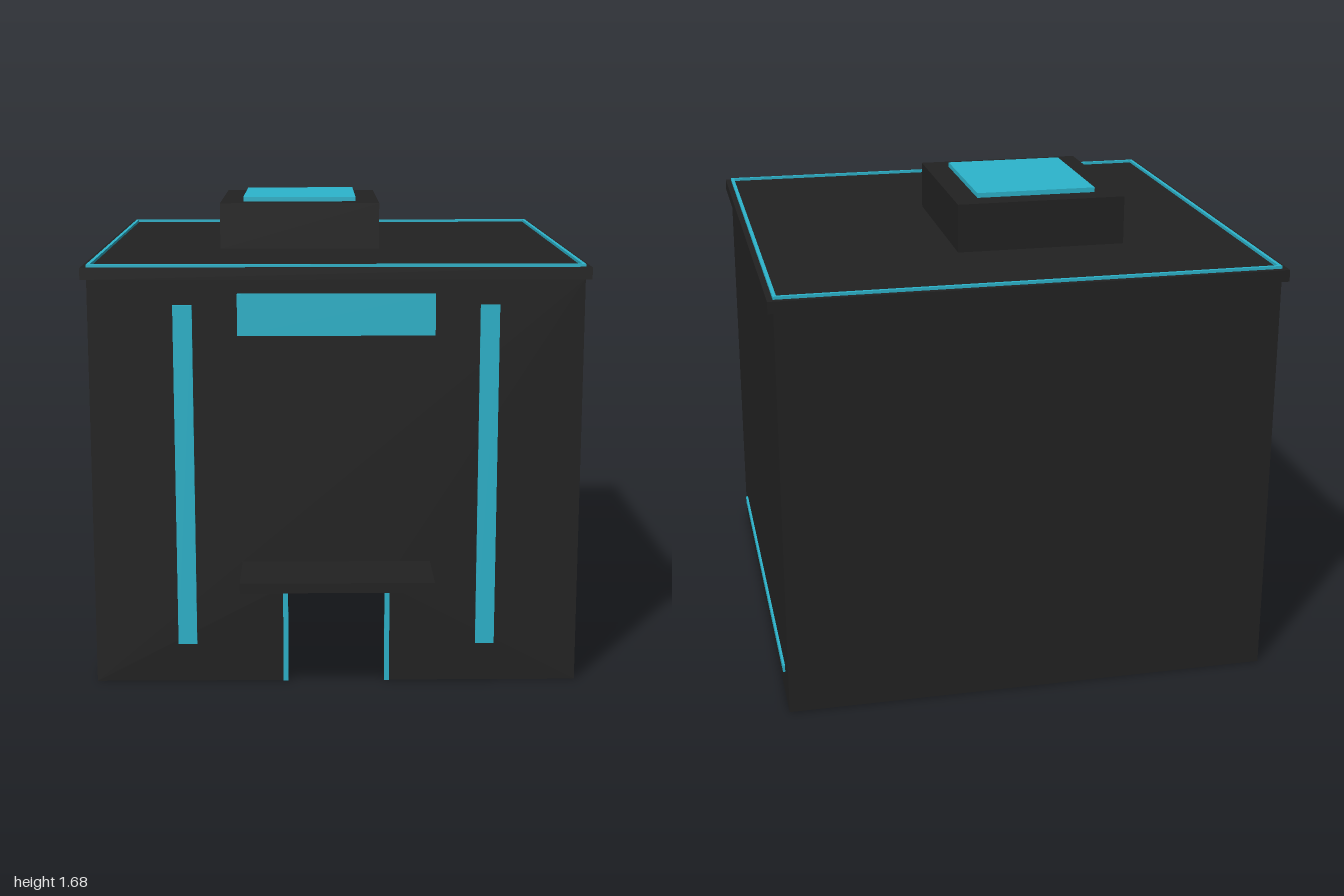
import * as THREE from 'three';

export function createModel() {
  const model = new THREE.Group();
  const charcoal = new THREE.MeshStandardMaterial({ color: 0x222222 });
  charcoal.name = 'charcoal';
  const cyan = new THREE.MeshStandardMaterial({ color: 0x2db5cd });
  cyan.name = 'cyan trim';

  // Box given by its minimum and maximum corners
  function box(name, material, [x0, y0, z0], [x1, y1, z1]) {
    const mesh = new THREE.Mesh(new THREE.BoxGeometry(x1 - x0, y1 - y0, z1 - z0), material);
    mesh.position.set((x0 + x1) / 2, (y0 + y1) / 2, (z0 + z1) / 2);
    mesh.name = name;
    model.add(mesh);
  }

  const W = 0.86, BACK = -0.98, FRONT = 0.74, H = 1.455, T = 0.035;
  const DOOR = 0.172, DOOR_H = 0.36;

  // Front wall with the doorway cut out
  const wall = new THREE.Shape([
    [-W, 0], [-DOOR, 0], [-DOOR, DOOR_H], [DOOR, DOOR_H],
    [DOOR, 0], [W, 0], [W, H], [-W, H],
  ].map(([x, y]) => new THREE.Vector2(x, y)));
  const frontWall = new THREE.Mesh(
    new THREE.ExtrudeGeometry(wall, { depth: T, bevelEnabled: false }), charcoal);
  frontWall.position.z = FRONT - T;
  frontWall.name = 'frontWall';
  model.add(frontWall);

  // Hollow shell, open underneath
  box('backWall', charcoal, [-W, 0, BACK], [W, H, BACK + T]);
  box('leftWall', charcoal, [W - T, 0, BACK + T], [W, H, FRONT - T]);
  box('rightWall', charcoal, [-W, 0, BACK + T], [-W + T, H, FRONT - T]);

  // Roof slab, rooftop unit and its panel
  box('roof', charcoal, [-0.88, H, -1], [0.88, 1.496, 0.76]);
  box('rooftopUnit', charcoal, [-0.43, 1.496, -0.55], [0.17, 1.667, 0.14]);
  box('rooftopPanel', cyan, [-0.345, 1.667, -0.465], [0.083, 1.684, 0.05]);

  // Thin lit border around the roof
  const B = 0.012, R0 = 1.496, R1 = 1.506;
  box('roofTrimFront', cyan, [-W, R0, FRONT - B], [W, R1, FRONT]);
  box('roofTrimBack', cyan, [-W, R0, BACK], [W, R1, BACK + B]);
  box('roofTrimLeft', cyan, [W - B, R0, BACK + B], [W, R1, FRONT - B]);
  box('roofTrimRight', cyan, [-W, R0, BACK + B], [-W + B, R1, FRONT - B]);

  // Entrance canopy, blank sign panel and door frame
  box('canopy', charcoal, [-0.333, 0.41, FRONT], [0.333, 0.445, 1]);
  box('signPanel', cyan, [-0.343, 1.26, FRONT], [0.343, 1.405, 0.757]);
  box('doorFrameTop', cyan, [-0.19, DOOR_H, FRONT], [0.19, 0.381, 0.747]);

  // Mirrored trim
  for (const [side, s] of [['left', 1], ['right', -1]]) {
    const span = (a, b) => (s > 0 ? [a, b] : [-b, -a]);
    const [d0, d1] = span(DOOR, 0.19);
    box(side + 'DoorFrame', cyan, [d0, 0, FRONT], [d1, DOOR_H, 0.747]);
    const [f0, f1] = span(0.499, 0.566);
    box(side + 'FrontStrip', cyan, [f0, 0.14, FRONT], [f1, 1.365, 0.747]);
    const [w0, w1] = span(W, 0.868);
    box(side + 'SideStrip', cyan, [w0, 0.098, -0.87], [w1, 0.123, 0.64]);
  }
  return model;
}
